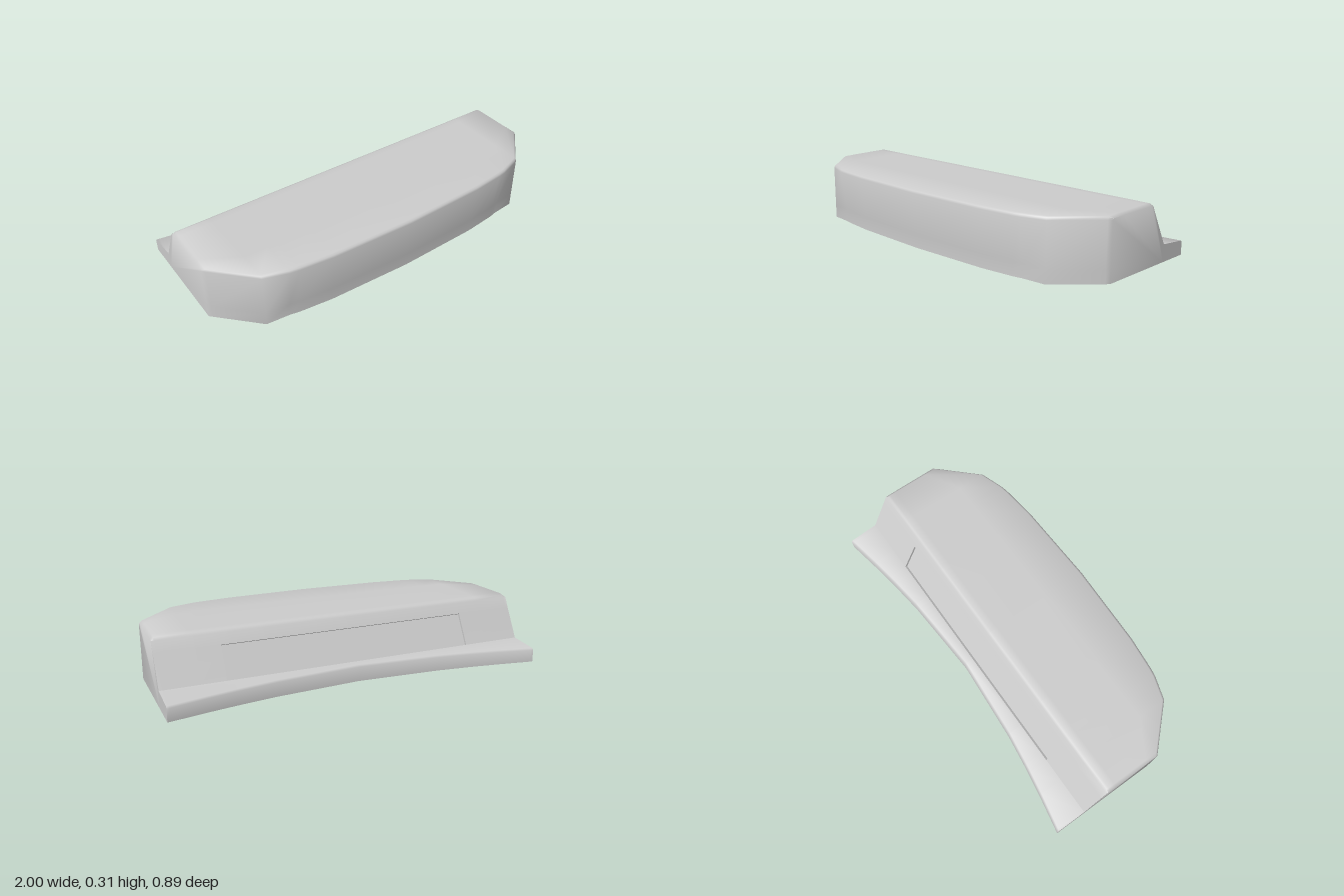
import * as THREE from 'three';
import { toCreasedNormals } from 'three/addons/utils/BufferGeometryUtils.js';

// Right half of the stations across the width: [x, front z at the top, front z at the foot]
const half = [
  [0, 0.443, 0.415], [0.45, 0.428, 0.4], [0.63, 0.408, 0.38], [0.675, 0.4, 0.37],
  [0.8, 0.358, 0.358], [0.985, 0.166, 0.166], [1, 0.15, 0.15],
];
const stations = [...half.slice(1).reverse().map(([x, t, f]) => [-x, t, f]), ...half];

const PANEL_X = 0.675;
const PANEL_TOP = [-0.195, 0.245], PANEL_FOOT = [-0.28, 0.09];

// Collects quads and triangles into one geometry
function builder() {
  const pos = [];
  const tri = (a, b, c) => pos.push(...a, ...b, ...c);
  const quad = (a, b, c, d) => { tri(a, b, c); tri(a, c, d); };
  const geometry = (crease) => {
    const g = new THREE.BufferGeometry();
    g.setAttribute('position', new THREE.Float32BufferAttribute(pos, 3));
    return toCreasedNormals(g, crease);
  };
  return { tri, quad, geometry };
}

// Skins profiles (lists of [z, y]) across the stations and closes both ends
function loft(profile, skip, capCorner, crease) {
  const b = builder();
  const rows = stations.map((s) => profile(s).map(([z, y]) => [s[0], y, z]));
  for (let i = 0; i < rows.length - 1; i++) {
    for (let j = 0; j < rows[i].length - 1; j++) {
      if (skip(i, j)) continue;
      b.quad(rows[i][j], rows[i + 1][j], rows[i + 1][j + 1], rows[i][j + 1]);
    }
  }
  for (const end of [rows[0], rows[rows.length - 1]]) {
    const x = end[0][0], p = [x, capCorner[1], capCorner[0]];
    for (let j = 0; j < end.length - 1; j++) {
      if (x > 0) b.tri(p, end[j + 1], end[j]);
      else b.tri(p, end[j], end[j + 1]);
    }
  }
  return b.geometry(crease);
}

// Hull section: front wall, softened roof edge, roof, sloping back
function hullProfile([x, top, foot]) {
  const limit = Math.abs(x) === 1 ? 0.3 : 1;
  return [
    [foot, 0], [foot, 0.07], [top, 0.293], [top - 0.005, 0.304], [top - 0.015, 0.31],
    [Math.min(0.2, top - 0.08), 0.312], [-0.11, 0.315], [-0.145, 0.315],
    [-0.157, 0.311], [-0.167, 0.298], PANEL_TOP, PANEL_FOOT,
  ].map(([z, y]) => [z, Math.min(y, limit)]);
}

// Ledge section: gently sloping top and upright rear edge that curves in plan
function ledgeProfile([x]) {
  const back = -0.328 - 0.117 * Math.abs(x) ** 1.7;
  const y = 0.09 + (back + 0.28) * 0.09;
  return [PANEL_FOOT, [back + 0.008, y], [back, y - 0.01], [back, 0]];
}

// Shallow recess in the sloping back: four rim faces and a flat floor
function recess() {
  const ring = (dz, dy) => [
    [PANEL_X, PANEL_FOOT], [-PANEL_X, PANEL_FOOT], [-PANEL_X, PANEL_TOP], [PANEL_X, PANEL_TOP],
  ].map(([x, [z, y]]) => [x, y + dy, z + dz]);
  const outer = ring(0, 0), inner = ring(0.0105, -0.006);
  const rim = builder(), floor = builder();
  for (let k = 0; k < 4; k++) {
    const n = (k + 1) % 4;
    rim.quad(outer[k], outer[n], inner[n], inner[k]);
  }
  floor.quad(...inner);
  return { rim: rim.geometry(0.5), floor: floor.geometry(0.5) };
}

export function createModel() {
  const group = new THREE.Group();
  group.name = 'bumperShell';
  const grey = new THREE.MeshStandardMaterial({ color: 0xcccccc, side: THREE.DoubleSide });
  grey.name = 'light grey';
  const add = (name, geometry) => {
    const mesh = new THREE.Mesh(geometry, grey);
    mesh.name = name;
    group.add(mesh);
  };

  // Hollow hull, open below, with a gap left for the recessed panel
  const inPanel = (i, j) => j === 10
    && Math.abs(stations[i][0] + stations[i + 1][0]) / 2 < PANEL_X;
  add('hull', loft(hullProfile, inPanel, [-0.28, 0], 1.0));
  add('rearLedge', loft(ledgeProfile, () => false, [-0.28, 0], 0.95));

  const { rim, floor } = recess();
  add('panelRim', rim);
  add('recessedPanel', floor);
  return group;
}
